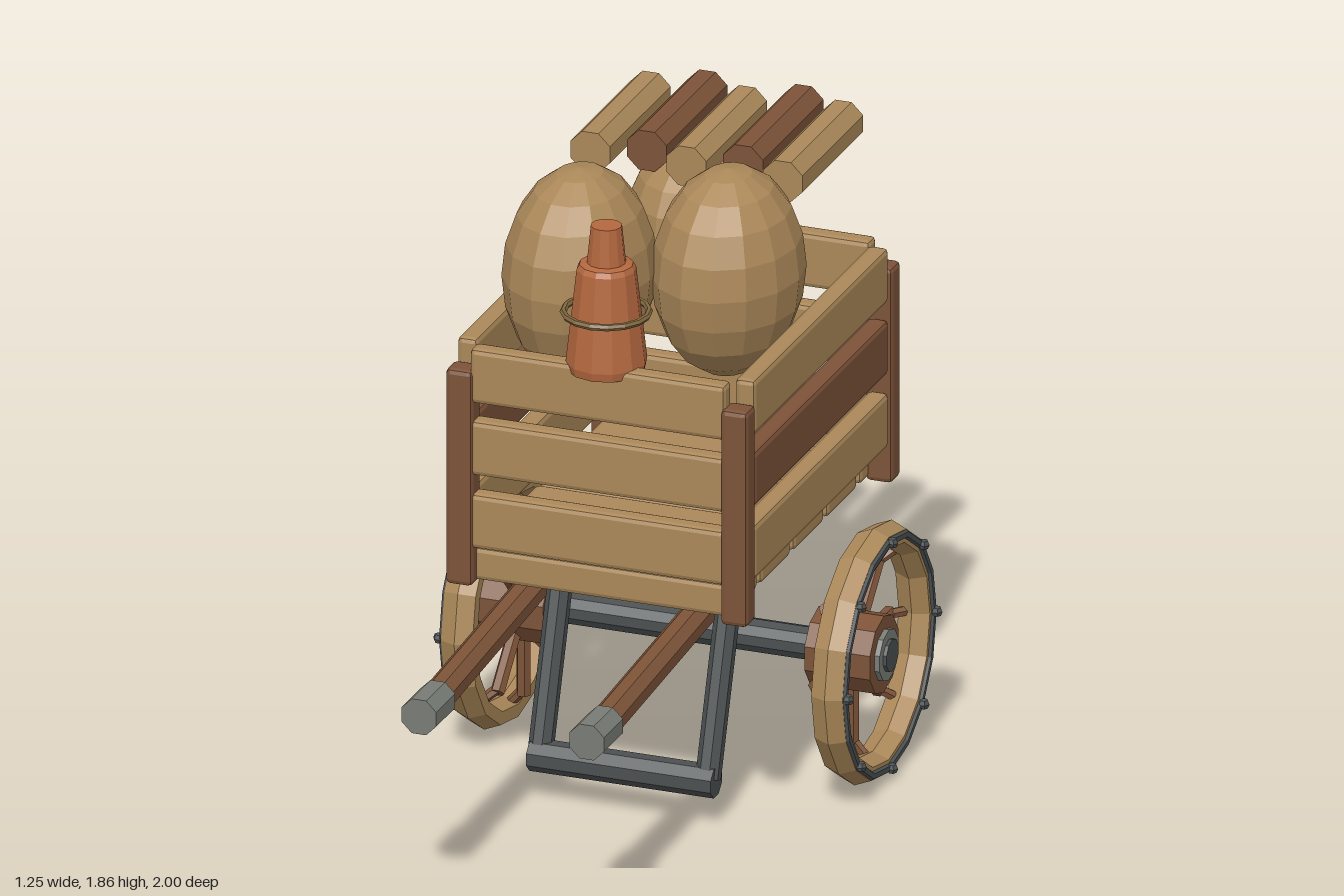
import * as THREE from 'three';
import { RoundedBoxGeometry } from 'three/addons/geometries/RoundedBoxGeometry.js';

const mat = (name, color) => {
  const m = new THREE.MeshStandardMaterial({ color, flatShading: true });
  m.name = name;
  return m;
};

export function createModel() {
  const lightWood = mat('lightWood', 0xab8859);
  const darkWood = mat('darkWood', 0x7d5338);
  const iron = mat('iron', 0x4b5051);
  const steel = mat('steel', 0x787c75);
  const clay = mat('clay', 0xb4683f);
  const sackcloth = mat('sackcloth', 0xab8859);
  const cord = mat('cord', 0x80683f);

  const cart = new THREE.Group();
  cart.name = 'handcart';

  const add = (name, geometry, material, x = 0, y = 0, z = 0, parent = cart) => {
    const mesh = new THREE.Mesh(geometry, material);
    mesh.name = name;
    mesh.position.set(x, y, z);
    parent.add(mesh);
    return mesh;
  };
  const board = (name, w, h, d, material, x, y, z) =>
    add(name, new RoundedBoxGeometry(w, h, d, 1, 0.015), material, x, y, z);

  // Cylinder running between two points
  const rod = (name, a, b, r, material, sides = 8, parent = cart) => {
    const from = new THREE.Vector3(...a);
    const dir = new THREE.Vector3(...b).sub(from);
    const geo = new THREE.CylinderGeometry(r, r, dir.length(), sides);
    geo.rotateY(Math.PI / sides);
    const mesh = add(name, geo, material, 0, 0, 0, parent);
    mesh.position.copy(from).addScaledVector(dir, 0.5);
    mesh.quaternion.setFromUnitVectors(new THREE.Vector3(0, 1, 0), dir.normalize());
    return mesh;
  };

  // Floor planks; the last one sticks out behind as a step
  for (let i = 0; i < 5; i++) {
    board('floorPlank', 0.76, 0.1, 0.235, lightWood, 0, 0.77, 0.135 - i * 0.255);
  }

  // Corner posts
  const frontZ = 0.25, backZ = -0.862;
  for (const x of [-0.41, 0.41]) {
    for (const z of [frontZ, backZ]) board('cornerPost', 0.08, 0.65, 0.076, darkWood, x, 1.036, z);
  }

  // Three rows of slats on all four sides
  [0.908, 1.128, 1.345].forEach((y, row) => {
    for (const z of [frontZ, backZ]) board('endSlat', 0.76, 0.165, 0.06, lightWood, 0, y, z);
    for (const x of [-0.414, 0.414]) {
      board('sideSlat', 0.06, 0.165, 1.035, row === 1 ? darkWood : lightWood, x, y, -0.306);
    }
  });

  // Axle and wheels
  const wheelY = 0.38, wheelZ = -0.42;
  rod('axle', [-0.61, wheelY, wheelZ], [0.61, wheelY, wheelZ], 0.048, iron, 10);
  for (const s of [-1, 1]) {
    const wheel = new THREE.Group();
    wheel.name = s > 0 ? 'leftWheel' : 'rightWheel';
    wheel.position.set(0, wheelY, wheelZ);
    cart.add(wheel);

    const rimGeo = new THREE.TorusGeometry(0.335, 0.038, 6, 16);
    rimGeo.scale(1, 1, 1.42);
    rimGeo.rotateY(Math.PI / 2);
    add('rim', rimGeo, lightWood, s * 0.552, 0, 0, wheel);

    const bandGeo = new THREE.TorusGeometry(0.34, 0.015, 6, 16);
    bandGeo.rotateY(Math.PI / 2);
    add('ironBand', bandGeo, iron, s * 0.594, 0, 0, wheel);

    rod('hub', [s * 0.39, 0, 0], [s * 0.585, 0, 0], 0.115, darkWood, 10, wheel);
    rod('hubCap', [s * 0.57, 0, 0], [s * 0.6, 0, 0], 0.076, steel, 10, wheel);

    for (let i = 0; i < 8; i++) {
      const a = (i * Math.PI) / 4, c = Math.cos(a), n = Math.sin(a);
      rod('spoke', [s * 0.49, 0.08 * c, 0.08 * n], [s * 0.49, 0.285 * c, 0.285 * n], 0.021, darkWood, 6, wheel);
      // Short tenon leaning out into the rim
      rod('spokeTenon', [s * 0.495, 0.275 * c, 0.275 * n], [s * 0.53, 0.315 * c, 0.315 * n], 0.015, darkWood, 6, wheel);
      add('rivet', new THREE.SphereGeometry(0.017, 6, 4), iron, s * 0.61, 0.34 * c, 0.34 * n, wheel);
    }
  }

  // Pull handles, grips and prop legs
  for (const x of [-0.25, 0.25]) {
    rod('handle', [x, 0.672, 0.13], [x, 0.622, 0.87], 0.047, darkWood);
    rod('grip', [x, 0.62, 0.855], [x, 0.62, 1], 0.056, steel);
    rod('propLeg', [x, 0.675, -0.108], [x, 0.145, 0.068], 0.036, iron);
  }
  rod('propFoot', [-0.275, 0.14, 0.07], [0.275, 0.14, 0.07], 0.047, iron);

  // Sacks: centre, then half sizes
  const sacks = [
    [-0.185, 1.56, -0.065, 0.21, 0.31, 0.26],
    [0.182, 1.54, -0.265, 0.21, 0.305, 0.258],
    [-0.04, 1.53, -0.6, 0.2, 0.24, 0.225],
  ];
  for (const [x, y, z, rx, ry, rz] of sacks) {
    const geo = new THREE.SphereGeometry(1, 14, 10);
    geo.scale(rx, ry, rz);
    add('sack', geo, sackcloth, x, y, z);
  }

  // Clay bottle with a cord around it
  const profile = [[0, 0], [0.11, 0], [0.115, 0.025], [0.084, 0.3], [0.076, 0.315], [0.055, 0.32], [0.044, 0.43], [0, 0.43]]
    .map(([r, y]) => new THREE.Vector2(r, y));
  add('bottle', new THREE.LatheGeometry(profile, 12), clay, 0, 1.4, 0.205);
  const cordGeo = new THREE.TorusGeometry(0.12, 0.01, 6, 16);
  cordGeo.rotateX(Math.PI / 2);
  add('bottleCord', cordGeo, cord, 0, 1.57, 0.205);

  // Row of logs, alternating in colour and offset
  for (let i = 0; i < 5; i++) {
    const x = (i - 2) * 0.1435, odd = i % 2 === 1;
    const z = odd ? -0.707 : -0.642;
    rod('log', [x, 1.765, z - 0.233], [x, 1.765, z + 0.233], 0.064, odd ? darkWood : lightWood);
    if (!odd) rod('logTwig', [x, 1.715, -0.8], [x, 1.715, -0.91], 0.011, lightWood, 6);
  }

  return cart;
}
